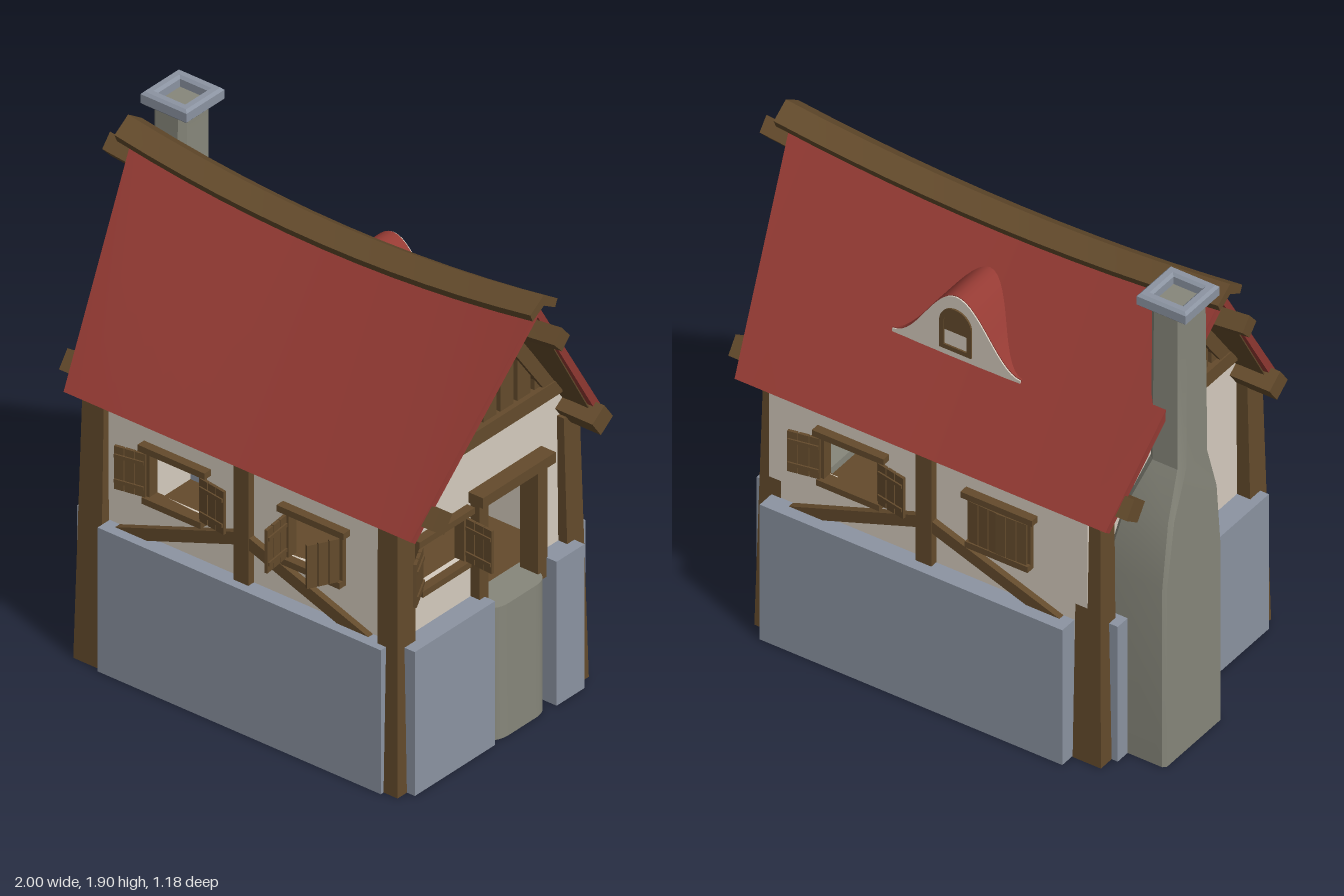
import * as THREE from 'three';
import { toCreasedNormals } from 'three/addons/utils/BufferGeometryUtils.js';

const mat = (name, color) => Object.assign(new THREE.MeshStandardMaterial({ color }), { name });
const RED = mat('roof red', 0x963b34), WOOD = mat('timber brown', 0x644b2c), STONE = mat('blue grey stone', 0x8c94a2);
const CREAM = mat('cream plaster', 0xd6ccbf), GREY = mat('warm grey stone', 0x87877b);
const CZ = -0.03; // centre line of the house in z

// Joins equal rings of points into a closed solid
function loft(rings) {
  const n = rings[0].length, last = rings.length - 1, tris = [];
  for (let r = 0; r < last; r++) for (let i = 0; i < n; i++) {
    const j = (i + 1) % n, a = rings[r][i], b = rings[r][j], c = rings[r + 1][j], d = rings[r + 1][i];
    tris.push([a, b, c], [a, c, d]);
  }
  for (let i = 1; i < n - 1; i++) {
    tris.push([rings[0][0], rings[0][i + 1], rings[0][i]], [rings[last][0], rings[last][i], rings[last][i + 1]]);
  }
  // Turn the solid outwards when its signed volume is negative
  const V = (p) => new THREE.Vector3(...p);
  const volume = tris.reduce((s, [a, b, c]) => s + V(a).dot(V(b).cross(V(c))), 0);
  if (volume < 0) tris.forEach((t) => t.reverse());
  const g = new THREE.BufferGeometry();
  g.setAttribute('position', new THREE.Float32BufferAttribute(tris.flat(2), 3));
  return toCreasedNormals(g, 0.35);
}
function add(parent, name, geo, material, x = 0, y = 0, z = 0) {
  const m = new THREE.Mesh(geo, material);
  m.name = name;
  m.position.set(x, y, z);
  parent.add(m);
  return m;
}
// Box given by its limits
function block(parent, name, material, x0, x1, y0, y1, z0, z1) {
  return add(parent, name, new THREE.BoxGeometry(x1 - x0, y1 - y0, z1 - z0), material, (x0 + x1) / 2, (y0 + y1) / 2, (z0 + z1) / 2);
}
function rect(x0, x1, y0, y1, Type = THREE.Path) {
  return new Type([[x0, y0], [x1, y0], [x1, y1], [x0, y1]].map((p) => new THREE.Vector2(...p)));
}
const extrude = (shape, depth) => new THREE.ExtrudeGeometry(shape, { depth, bevelEnabled: false, curveSegments: 8 });
// Rectangular ring at height y, with cut corners when c > 0
function ring(y, x0, x1, z0, z1, c = 0) {
  if (!c) return [[x0, y, z0], [x1, y, z0], [x1, y, z1], [x0, y, z1]];
  return [[x0 + c, y, z0], [x1 - c, y, z0], [x1, y, z0 + c], [x1, y, z1 - c],
    [x1 - c, y, z1], [x0 + c, y, z1], [x0, y, z1 - c], [x0, y, z0 + c]];
}
const along = (n, fn) => Array.from({ length: n + 1 }, (_, i) => fn(i / n * 2 - 1));

// Window frame with plank shutters; angles are how far the left and right one are opened
function addWindow(parent, name, x, z, turn, openLeft, openRight) {
  const g = new THREE.Group(), h = 0.12, width = 0.125, step = width / 3;
  g.name = name;
  g.position.set(x, 0.84, z);
  g.rotation.y = turn;
  parent.add(g);
  block(g, 'lintel', WOOD, -h - 0.028, h + 0.028, 0.09, 0.115, -0.025, 0.035);
  block(g, 'sill', WOOD, -h - 0.01, h + 0.01, -0.115, -0.09, -0.025, 0.035);
  for (const [side, open] of [[-1, openLeft], [1, openRight]]) {
    block(g, 'jamb', WOOD, side * h - 0.01, side * h + 0.01, -0.09, 0.09, -0.025, 0.018);
    const leaf = new THREE.Group();
    leaf.name = 'shutter';
    leaf.position.set(side * h, -0.004, 0.022);
    leaf.rotation.y = side < 0 ? -open : Math.PI + open;
    g.add(leaf);
    for (let i = 0; i < 3; i++) {
      add(leaf, 'plank', new THREE.BoxGeometry(step - 0.004, 0.172, 0.012), WOOD, (i + 0.5) * step, 0, 0);
    }
    for (const y of [-0.05, 0.05]) add(leaf, 'batten', new THREE.BoxGeometry(width - 0.01, 0.014, 0.008), WOOD, width / 2, y, side * 0.008);
  }
}

function addWalls(house) {
  const g = new THREE.Group();
  g.name = 'walls';
  house.add(g);
  // Long walls with two windows each
  for (const [name, z] of [['frontWall', 0.43], ['backWall', -0.51]]) {
    const s = rect(-0.66, 0.66, 0.01, 1.07, THREE.Shape);
    s.holes.push(rect(-0.425, -0.185, 0.75, 0.93), rect(0.19, 0.43, 0.75, 0.93));
    add(g, name, extrude(s, 0.02), CREAM, 0, 0, z);
  }
  // Gable walls; the right one has the doorway and a window
  for (const s of [-1, 1]) {
    const shape = new THREE.Shape([[-0.44, 0.01], [0.5, 0.01], [0.5, 1.07], [0.03, 1.7], [-0.44, 1.07]].map((p) => new THREE.Vector2(...p)));
    if (s > 0) shape.holes.push(rect(-0.335, -0.095, 0.75, 0.93), rect(0, 0.27, 0.5, 0.96));
    add(g, s > 0 ? 'rightWall' : 'leftWall', extrude(shape, 0.02), CREAM, s > 0 ? 0.64 : -0.66).rotation.y = Math.PI / 2;
  }
  block(g, 'floor', WOOD, -0.64, 0.64, 0.46, 0.5, -0.49, 0.43);
  // Stone footing panels
  block(g, 'frontStone', STONE, -0.605, 0.648, 0, 0.577, 0.44, 0.515);
  block(g, 'backStone', STONE, -0.605, 0.648, 0, 0.577, -0.583, -0.5);
  for (const [x0, x1, z0, z1] of [[0.65, 0.745, 0.02, 0.45], [0.65, 0.745, -0.46, -0.31], [-0.75, -0.65, -0.03, 0.45], [-0.75, -0.65, -0.46, -0.38]]) {
    block(g, 'sideStone', STONE, x0, x1, 0, 0.577, z0, z1);
  }
  // Doorstep with rounded outer corners
  const step = new THREE.Shape().moveTo(0.6, -0.02).lineTo(0.66, -0.02).quadraticCurveTo(0.74, -0.02, 0.74, 0.06)
    .lineTo(0.74, 0.205).quadraticCurveTo(0.74, 0.285, 0.66, 0.285).lineTo(0.6, 0.285);
  add(g, 'doorstep', toCreasedNormals(extrude(step, 0.53), 0.5), GREY).rotation.x = -Math.PI / 2;
}

function addTimber(house) {
  const g = new THREE.Group();
  g.name = 'timberFrame';
  house.add(g);
  // Leaning corner posts
  for (const [z0, z1, t0, t1] of [[0.395, 0.5, 0.385, 0.475], [-0.525, -0.43, -0.5, -0.415]]) {
    add(g, 'cornerPost', loft([ring(0, -0.725, -0.608, z0, z1), ring(1.08, -0.705, -0.61, t0, t1)]), WOOD);
    add(g, 'cornerPost', loft([ring(0, 0.62, 0.71, z0, z1), ring(1.08, 0.602, 0.69, t0, t1)]), WOOD);
  }
  // Middle posts and slanted braces
  for (const [z0, z1] of [[0.44, 0.475], [-0.535, -0.5]]) {
    block(g, 'middlePost', WOOD, -0.033, 0.033, 0.5, 1.05, z0 - 0.005, z1 + 0.005);
    for (const s of [-1, 1]) {
      const pts = [[0.02, 0.77], [0.02, 0.72], [0.44, 0.57], [0.58, 0.57]];
      add(g, 'brace', loft([z0, z1].map((z) => pts.map(([x, y]) => [s * x, y, z]))), WOOD);
    }
  }
  // Wall plates poking out under the eaves
  for (const s of [-1, 1]) {
    add(g, 'wallPlate', new THREE.BoxGeometry(1.65, 0.08, 0.078), WOOD, 0, 1.105, CZ + s * 0.43).rotation.x = s * 0.95;
  }
  // Sagging ridge pole
  add(g, 'ridgePole', loft(along(10, (s) => {
    const y = 1.64 + 0.06 * s * s;
    return [[s, y + 0.05, CZ], [s, y, CZ + 0.042], [s, y - 0.045, CZ], [s, y, CZ - 0.042]];
  })), WOOD);
  // Boarded gables
  for (const s of [-1, 1]) {
    const gable = new THREE.Group();
    gable.name = 'gable';
    gable.position.set(s * 0.67, 0, CZ);
    g.add(gable);
    add(gable, 'tieBeam', new THREE.BoxGeometry(0.06, 0.06, 0.73), WOOD, 0, 1.23, 0);
    for (let k = -3; k <= 3; k++) {
      const a = k * 0.091 - 0.036, b = a + 0.07, top = (z) => 1.67 - 1.36 * Math.abs(z);
      const pts = [[a, 1.24], [b, 1.24], [b, top(b)], [(a + b) / 2, top((a + b) / 2)], [a, top(a)]];
      add(gable, 'board', loft([-0.01, 0.01].map((x) => pts.map(([z, y]) => [x, y, z]))), WOOD);
    }
    for (const d of [-1, 1]) {
      const pts = [[0, 1.715], [0.375, 1.205], [0.31, 1.205], [0, 1.625]];
      add(gable, 'rafter', loft([-0.025, 0.025].map((x) => pts.map(([z, y]) => [x, y, d * z]))), WOOD);
    }
  }
  // Door frame
  block(g, 'doorLintel', WOOD, 0.62, 0.725, 0.958, 1.0, -0.33, 0.06);
  block(g, 'doorJamb', WOOD, 0.62, 0.7, 0.5, 0.96, 0, 0.048);
  block(g, 'doorJamb', WOOD, 0.62, 0.7, 0.5, 0.96, -0.315, -0.265);
}

function addRoof(house) {
  const g = new THREE.Group();
  g.name = 'roof';
  house.add(g);
  const L = THREE.MathUtils.lerp;
  for (const d of [-1, 1]) {
    // One slope as a slab between two depths measured square to its surface
    const slope = (t0, t1, inset) => loft(along(16, (s) => [[0, t0], [1, t0], [1, t1], [0, t1]].map(([v, t]) => [
      s * (L(0.893, 0.768, v) - inset),
      L(1.735 + 0.065 * s * s, 1.05, v) - t * (v ? 0.6 : 1.65),
      CZ + d * v * (0.53 - inset - 0.8 * t)])));
    add(g, 'roofSlope', slope(0, 0.03, 0), RED);
    add(g, 'roofUnderside', slope(0.029, 0.034, 0.012), WOOD);
  }
  // Chevron ridge cap following the sag
  const cap = [[0, 0.048], [0.073, 0], [0.06, -0.03], [0, 0.005], [-0.06, -0.03], [-0.073, 0]];
  add(g, 'ridgeCap', loft(along(12, (s) => cap.map(([z, y]) => [
    s * 0.92, 1.735 + 0.067 * s * s + y, CZ + z + 0.012 * (1 - s * s)]))), WOOD);

  // Bell-shaped dormer on the back slope
  const dormer = new THREE.Group();
  dormer.name = 'dormer';
  g.add(dormer);
  const bell = (t) => 1.35 + 0.1225 * (1 + Math.cos(Math.PI * t));
  const roofZ = (y) => CZ - (1.735 - y) / 1.29 + 0.015;
  add(dormer, 'dormerHood', loft(along(28, (t) => {
    const y = bell(t), x = 0.267 * t;
    return [[x, y, -0.337], [x, y, roofZ(y)], [x, y - 0.018, roofZ(y - 0.018)], [x, y - 0.018, -0.337]];
  })), RED);
  const face = new THREE.Shape([...along(28, (t) => new THREE.Vector2(0.265 * t, bell(t) - 0.003)),
    new THREE.Vector2(0.265, 1.325), new THREE.Vector2(-0.265, 1.325)].reverse());
  add(dormer, 'dormerFace', extrude(face, 0.008), CREAM, 0, 0, -0.342);
  const arch = (Type, r, y0) => new Type().moveTo(-r, y0).lineTo(r, y0).lineTo(r, 1.475).absarc(0, 1.475, r, 0, Math.PI, false);
  const frame = arch(THREE.Shape, 0.066, 1.36);
  frame.holes.push(arch(THREE.Path, 0.048, 1.378));
  add(dormer, 'dormerFrame', extrude(frame, 0.008), WOOD, 0, 0, -0.349);
  add(dormer, 'dormerPane', extrude(arch(THREE.Shape, 0.05, 1.44), 0.004), WOOD, 0, 0, -0.345);
}

function addChimney(house) {
  const g = new THREE.Group();
  g.name = 'chimney';
  house.add(g);
  add(g, 'chimneyStack', loft([
    ring(0, -0.905, -0.65, -0.4, -0.055, 0.012), ring(0.76, -0.905, -0.65, -0.4, -0.055, 0.012),
    ring(1.02, -0.905, -0.7, -0.36, -0.075, 0.015), ring(1.2, -0.902, -0.755, -0.29, -0.12, 0.022),
    ring(1.86, -0.9, -0.758, -0.285, -0.127, 0.022)]), GREY);
  // Hollow cap
  const cap = rect(-0.092, 0.092, -0.092, 0.092, THREE.Shape);
  cap.holes.push(rect(-0.07, 0.07, -0.07, 0.07));
  const capGeo = new THREE.ExtrudeGeometry(cap, { depth: 0.035, bevelThickness: 0.01, bevelSize: 0.01, bevelSegments: 1 });
  add(g, 'chimneyCap', capGeo, STONE, -0.828, 1.856, -0.21).rotation.x = -Math.PI / 2;
  // Fireplace indoors, standing on the ground
  block(g, 'fireplaceBase', STONE, -0.64, -0.38, 0.01, 0.505, -0.4, -0.03);
  block(g, 'fireplaceJamb', STONE, -0.64, -0.38, 0.5, 0.76, -0.1, -0.025);
  block(g, 'fireplaceJamb', STONE, -0.64, -0.38, 0.5, 0.76, -0.4, -0.33);
  block(g, 'mantel', STONE, -0.64, -0.37, 0.745, 0.87, -0.41, -0.02);
  block(g, 'firebox', GREY, -0.64, -0.6, 0.5, 0.75, -0.33, -0.1);
  add(g, 'hood', loft([ring(0.86, -0.64, -0.42, -0.4, -0.02), ring(1.02, -0.64, -0.46, -0.39, -0.025), ring(1.2, -0.64, -0.54, -0.29, -0.12)]), STONE);
}

export function createModel() {
  const house = new THREE.Group();
  house.name = 'cottage';
  addWalls(house);
  addTimber(house);
  addRoof(house);
  addChimney(house);
  addWindow(house, 'frontWindow', -0.305, 0.45, 0, 2.95, 3.0);
  addWindow(house, 'frontWindow', 0.31, 0.45, 0, 1.45, 1.1);
  addWindow(house, 'backWindow', -0.305, -0.51, Math.PI, 0.03, 0.05);
  addWindow(house, 'backWindow', 0.31, -0.51, Math.PI, 2.95, 2.95);
  addWindow(house, 'sideWindow', 0.66, 0.215, Math.PI / 2, 2.65, 1.5);
  return house;
}
